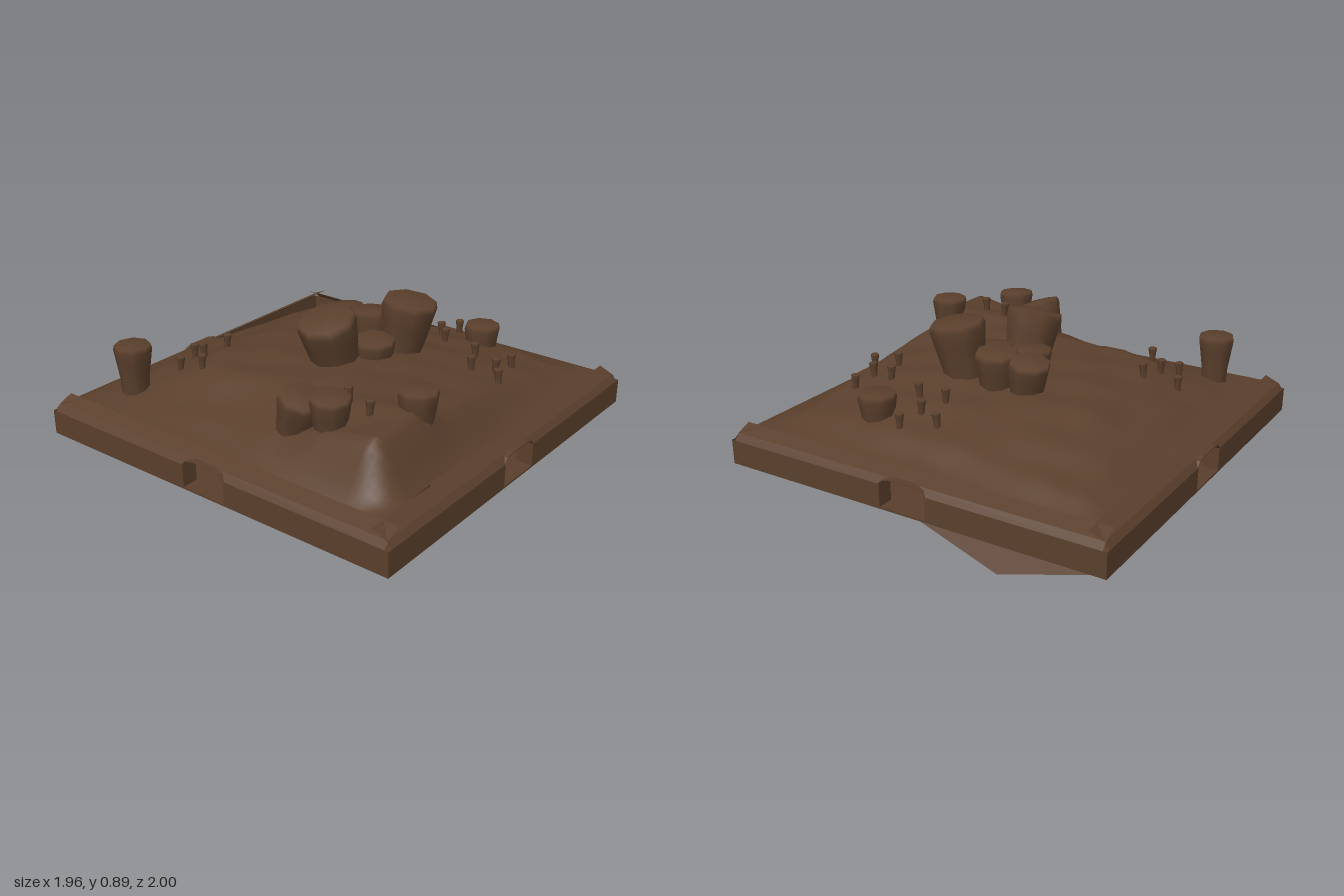
import * as THREE from 'three';
import { toCreasedNormals } from 'three/addons/utils/BufferGeometryUtils.js';

const earth = new THREE.MeshStandardMaterial({ color: 0x5a3f2c, side: THREE.DoubleSide });
earth.name = 'earth brown';

// coarse height grid: rows from back to front, columns from -x to +x
const EDGE = 0.885, CZ = 0.015;
const LINES = [-EDGE, -.70, -.465, -.23, 0, .23, .465, .72, EDGE];
const HEIGHTS = [
  [.37, .39, .41, .43, .45, .45, .45, .45, .45],
  [.39, .46, .49, .51, .53, .54, .53, .50, .45],
  [.41, .50, .56, .58, .58, .59, .58, .54, .45],
  [.43, .52, .60, .62, .61, .63, .62, .57, .45],
  [.45, .53, .61, .63, .64, .65, .64, .60, .45],
  [.45, .53, .61, .63, .64, .66, .66, .63, .46],
  [.45, .52, .60, .62, .63, .65, .68, .69, .46],
  [.45, .48, .50, .51, .52, .56, .63, .68, .46],
  [.45, .45, .45, .45, .45, .45, .45, .45, .45],
];

// grid cell and softened fraction for one coordinate
function locate(value) {
  const i = THREE.MathUtils.clamp(LINES.findIndex(line => line > value) - 1, 0, 7);
  const cell = value >= EDGE ? 7 : i;
  const f = THREE.MathUtils.clamp((value - LINES[cell]) / (LINES[cell + 1] - LINES[cell]), 0, 1);
  return [cell, (f + THREE.MathUtils.smoothstep(f, 0, 1)) / 2];
}

function heightAt(x, z) {
  const [i, s] = locate(x), [j, t] = locate(z - CZ);
  const mix = THREE.MathUtils.lerp;
  const base = mix(mix(HEIGHTS[j][i], HEIGHTS[j][i + 1], s), mix(HEIGHTS[j + 1][i], HEIGHTS[j + 1][i + 1], s), t);
  const inner = Math.min(1, (EDGE - Math.abs(x)) * 4, (EDGE - Math.abs(z - CZ)) * 4);
  return base + 0.007 * Math.max(0, inner) * Math.sin(13 * x + 5 * z) * Math.sin(17 * z - 4 * x);
}

function add(parent, name, geometry) {
  const mesh = new THREE.Mesh(geometry, earth);
  mesh.name = name;
  parent.add(mesh);
  return mesh;
}

// flared, soft-edged column running between two points
function column(parent, name, bottom, top, radius, sides = 8) {
  const a = new THREE.Vector3(...bottom), b = new THREE.Vector3(...top);
  const length = a.distanceTo(b);
  const profile = [[0, 0], [.62, 0], [.68, .02], [.70, .45], [.76, .68], [.92, .86], [1, .95], [.94, .99], [0, 1]]
    .map(([r, h]) => new THREE.Vector2(r * radius, h * length));
  const mesh = add(parent, name, new THREE.LatheGeometry(profile, sides));
  mesh.position.copy(a);
  mesh.quaternion.setFromUnitVectors(new THREE.Vector3(0, 1, 0), b.sub(a).normalize());
}

const toShape = points => new THREE.Shape(points.map(p => new THREE.Vector2(...p)));

// one side face from an outline; it leans inward above y = 0.39 and more above y = 0.42
function sideFace(points) {
  const geometry = new THREE.ShapeGeometry(toShape(points));
  const pos = geometry.attributes.position;
  for (let i = 0; i < pos.count; i++) {
    const y = pos.getY(i);
    pos.setZ(i, 0.98 - Math.max(0, Math.min(y, 0.42) - 0.39) * 0.83 - Math.max(0, y - 0.42) * 2.33);
  }
  geometry.computeVertexNormals();
  return geometry;
}

export function createModel() {
  const model = new THREE.Group();
  model.name = 'terrainTile';

  // hollow base: floor plate and four sides, each with an arched opening
  add(model, 'floor', new THREE.BoxGeometry(1.96, 0.009, 1.96)).position.set(0, 0.2745, CZ);
  const wall = sideFace([[-.98, .27], [-.12, .27], [-.12, .39], [-.98, .39]]);
  const wallMirror = sideFace([[.12, .27], [.98, .27], [.98, .39], [.12, .39]]);
  const chamfer = sideFace([
    [-.96, .39], [-.12, .39], [-.10, .41], [-.06, .419], [.06, .419], [.10, .41], [.12, .39],
    [.96, .39], [.96, .42], [-.96, .42],
  ]);
  const rim = sideFace([[-.96, .42], [.96, .42], [.96, .45], [-.96, .45]]);
  const tunnel = new THREE.ExtrudeGeometry(toShape([
    [-.124, .27], [-.12, .27], [-.12, .39], [-.10, .41], [-.06, .42], [.06, .42], [.10, .41], [.12, .39],
    [.12, .27], [.124, .27], [.124, .392], [.102, .414], [.06, .424], [-.06, .424], [-.102, .414], [-.124, .392],
  ]), { depth: 0.08, bevelEnabled: false });
  tunnel.translate(0, 0, 0.90);
  for (let i = 0; i < 4; i++) {
    const side = new THREE.Group();
    side.name = 'side';
    side.position.z = CZ;
    side.rotation.y = i * Math.PI / 2;
    add(side, 'wall', wall);
    add(side, 'wall', wallMirror);
    add(side, 'chamfer', chamfer);
    add(side, 'rim', rim);
    add(side, 'archedOpening', tunnel);
    model.add(side);
  }

  // rolling ground
  const ground = new THREE.PlaneGeometry(2 * EDGE, 2 * EDGE, 64, 64).rotateX(-Math.PI / 2).translate(0, 0, CZ);
  const pos = ground.attributes.position;
  for (let i = 0; i < pos.count; i++) pos.setY(i, heightAt(pos.getX(i), pos.getZ(i)));
  ground.computeVertexNormals();
  add(model, 'ground', ground);

  // central cluster: bottom point, top point, radius
  const cluster = new THREE.Group();
  cluster.name = 'centralCluster';
  model.add(cluster);
  [
    [[.07, .03, -.04], [.04, .865, .205], .14],
    [[.14, .14, -.15], [.24, .885, -.19], .135],
    [[.03, .16, -.15], [.01, .78, -.20], .105],
    [[-.08, .16, -.14], [-.17, .765, -.20], .10],
    [[-.06, .16, -.04], [-.06, .75, 0], .10],
    [[.14, .16, -.04], [.17, .73, 0], .10],
  ].forEach(c => column(cluster, 'clusterColumn', ...c));

  // outlying columns
  [
    [[.37, .11, -.63], [.37, .65, -.64], .09],
    [[.70, .24, .40], [.695, .77, .40], .09],
    [[.42, .22, .64], [.45, .77, .68], .09],
    [[.13, .16, .66], [.31, .735, .69], .105],
    [[-.70, .18, .72], [-.70, .715, .72], .09],
  ].forEach(c => column(model, 'outerColumn', ...c));

  // small sprouts
  const sprouts = new THREE.Group();
  sprouts.name = 'sprouts';
  model.add(sprouts);
  [
    [.20, -.70], [.05, -.62], [.18, -.57], [.12, -.46], [.26, -.46],
    [.65, -.46], [.50, -.37], [.63, -.33], [.57, -.22], [.715, -.23],
    [-.52, .28], [-.66, .36], [-.54, .41], [-.60, .52], [-.45, .52],
    [.43, .52], [.56, .56],
  ].forEach(([x, z], i) => {
    const y = heightAt(x, z);
    column(sprouts, 'sprout', [x, y - 0.05, z], [x + 0.01 * Math.sin(i * 2), y + 0.07, z], 0.021, 6);
  });

  // fallen column and shallow pads on the underside
  const log = add(model, 'undersideLog', toCreasedNormals(new THREE.CylinderGeometry(0.055, 0.055, 0.55, 8), 0.9));
  const from = new THREE.Vector3(-.79, .26, .38), to = new THREE.Vector3(-.40, .23, .78);
  log.position.copy(from).lerp(to, 0.5);
  log.quaternion.setFromUnitVectors(new THREE.Vector3(0, 1, 0), to.sub(from).normalize());
  [[-.63, -.62], [-.3, -.5], [.64, -.49], [.33, -.66], [.59, .57], [.11, .54], [-.33, .84]].forEach(([x, z]) => {
    add(model, 'undersidePad', new THREE.BoxGeometry(0.2, 0.016, 0.2)).position.set(x, 0.264, z);
  });

  // pointed flap hanging from the back edge
  const left = [-.97, .27, -.93], right = [0, .27, -.93], inner = [-.5, .27, -.83], tip = [-.5, .16, -1];
  const flap = new THREE.BufferGeometry();
  flap.setAttribute('position', new THREE.Float32BufferAttribute(
    [left, tip, inner, inner, tip, right, left, right, tip].flat(), 3));
  flap.computeVertexNormals();
  add(model, 'backFlap', flap);

  return model;
}
